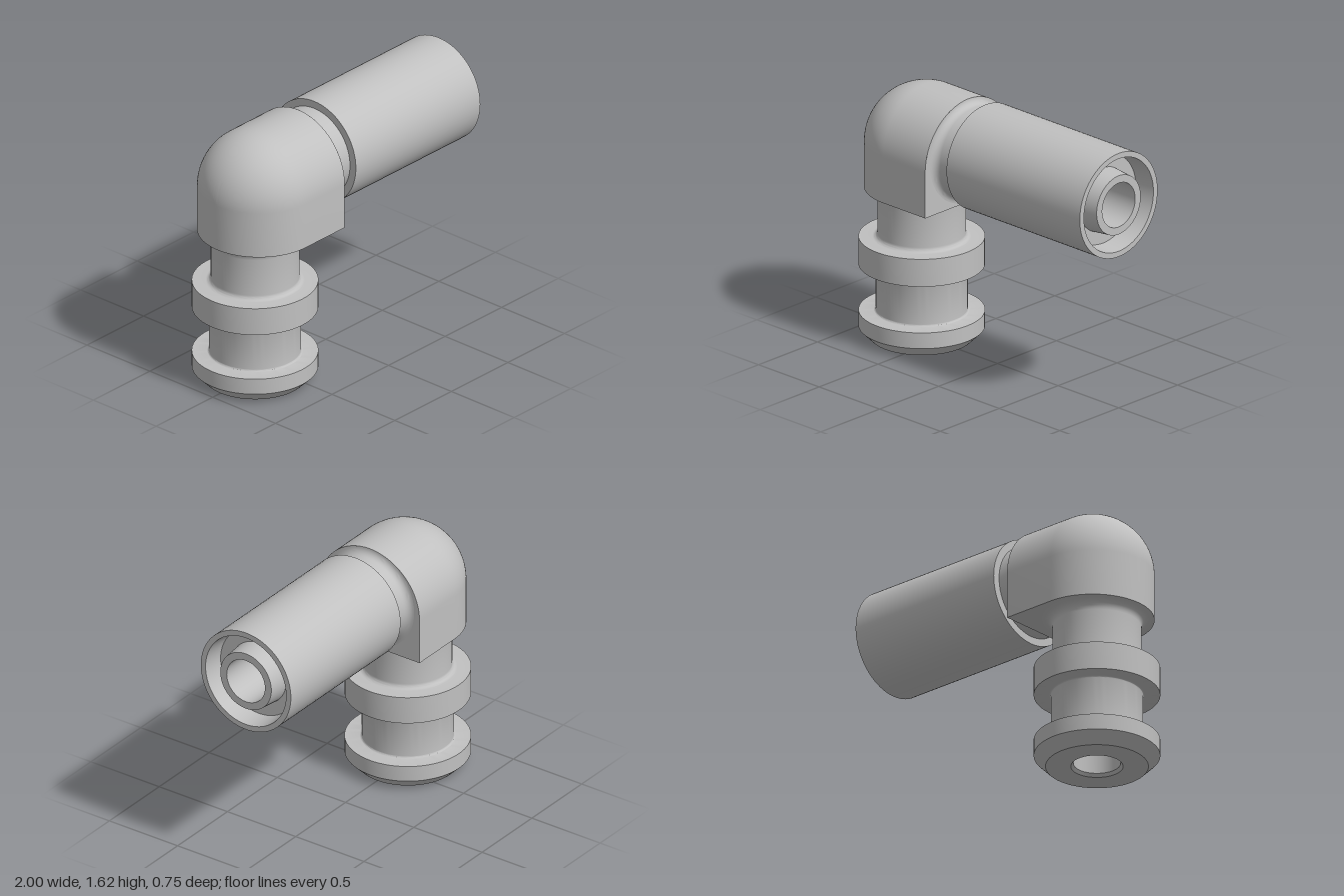
import * as THREE from 'three';
import { toCreasedNormals } from 'three/addons/utils/BufferGeometryUtils.js';

const CX = -0.625, CY = 1.295;                 // where the two bores meet
const BORE = 0.14;
const R = 0.367, BX = CX + 0.035, BY = CY - 0.04; // elbow rounding and its centre
const Y0 = 0.965, X1 = -0.24;                  // flat underside and flat end of the elbow

// quarter-circle fillet points around (cx, cy)
function fillet(cx, cy, r, from, to, n = 7) {
  return Array.from({ length: n + 1 }, (_, i) => {
    const a = from + (to - from) * i / n;
    return [cx + r * Math.cos(a), cy + r * Math.sin(a)];
  });
}

// turned part; its bore end (above mitreY) is cut at 45 degrees towards side
function turned(profile, mitreY, side) {
  const g = new THREE.LatheGeometry(profile.map(p => new THREE.Vector2(...p)), 72);
  const p = g.attributes.position;
  for (let i = 0; i < p.count; i++) {
    if (p.getY(i) > mitreY) p.setY(i, p.getY(i) - Math.max(0, side * p.getX(i)));
  }
  return toCreasedNormals(g, 0.45);
}

// domed elbow skin: arch-shaped sections that widen along x
function elbowSkin() {
  const pos = [], idx = [], N = 24, M = 48;
  const section = (x, w) => {
    pos.push(x, Y0, w);
    for (let j = 0; j <= M; j++) {
      const a = Math.PI * j / M;
      pos.push(x, BY + w * Math.sin(a), w * Math.cos(a));
    }
    pos.push(x, Y0, -w);
  };
  for (let i = 0; i <= N; i++) {
    const t = Math.PI / 2 * i / N;
    section(BX - R * Math.cos(t), R * Math.sin(t));
  }
  section(X1, R);
  const m = M + 3;
  for (let i = 0; i <= N; i++) for (let j = 0; j < m - 1; j++) {
    const a = i * m + j, b = a + m;
    idx.push(a, b, a + 1, b, b + 1, a + 1);
  }
  const g = new THREE.BufferGeometry();
  g.setAttribute('position', new THREE.Float32BufferAttribute(pos, 3));
  g.setIndex(idx);
  return toCreasedNormals(g, 0.5);
}

// flat face with a round opening hidden beneath the adjoining stem
function openFace(shape, x, y) {
  shape.holes.push(new THREE.Path().absarc(x, y, 0.22, 0, Math.PI * 2, true));
  return new THREE.ShapeGeometry(shape, 32);
}

export function createModel() {
  const group = new THREE.Group();
  const grey = new THREE.MeshStandardMaterial({ color: 0xc0c0c0, side: THREE.DoubleSide });
  grey.name = 'light grey';
  const add = (name, geometry) => {
    const mesh = new THREE.Mesh(geometry, grey);
    mesh.name = name;
    group.add(mesh);
    return mesh;
  };
  const P = Math.PI;

  // elbow body
  add('elbowBody', elbowSkin());
  const arch = new THREE.Shape();
  arch.moveTo(-R, Y0).lineTo(R, Y0).lineTo(R, BY).absarc(0, BY, R, 0, P, false);
  add('elbowEndFace', openFace(arch, 0, CY).rotateY(P / 2)).position.x = X1;
  const sole = new THREE.Shape();
  sole.moveTo(X1, -R).lineTo(X1, R).lineTo(BX, R).absarc(BX, 0, R, P / 2, P * 1.5, false);
  add('elbowUnderside', openFace(sole, CX, 0).rotateX(P / 2)).position.y = Y0;

  // vertical plug with two collars, from the bore up the outside
  const plug = turned([
    [BORE, CY], [BORE, 0.02], [0.155, 0], [0.305, 0], [0.375, 0.07], [0.375, 0.17],
    ...fillet(0.285, 0.182, 0.012, -P / 2, -P),
    ...fillet(0.285, 0.453, 0.012, P, P / 2),
    [0.375, 0.465], [0.375, 0.64],
    ...fillet(0.293, 0.67, 0.03, -P / 2, -P),
    ...fillet(0.323, 0.905, 0.06, P, P / 2),
  ], 1.1, 1);
  add('verticalPlug', plug).position.x = CX;

  // horizontal socket: inner tube, ring-shaped recess, outer sleeve and neck
  const socket = turned([
    [BORE, -CX], [BORE, -1], [0.187, -1], [0.2, -0.87], [0.28, -0.87], [0.295, -1],
    [0.33, -1], [0.33, 0.1], [0.283, 0.1],
    ...fillet(0.328, 0.195, 0.045, P, P / 2),
  ], 0.4, -1);
  add('horizontalSocket', socket.rotateZ(P / 2)).position.y = CY;

  // rounded outer corner of the bore
  const bend = new THREE.SphereGeometry(BORE, 36, 18, -P / 2, P, 0, P / 2);
  add('boreBend', bend).position.set(CX, CY, 0);

  return group;
}
